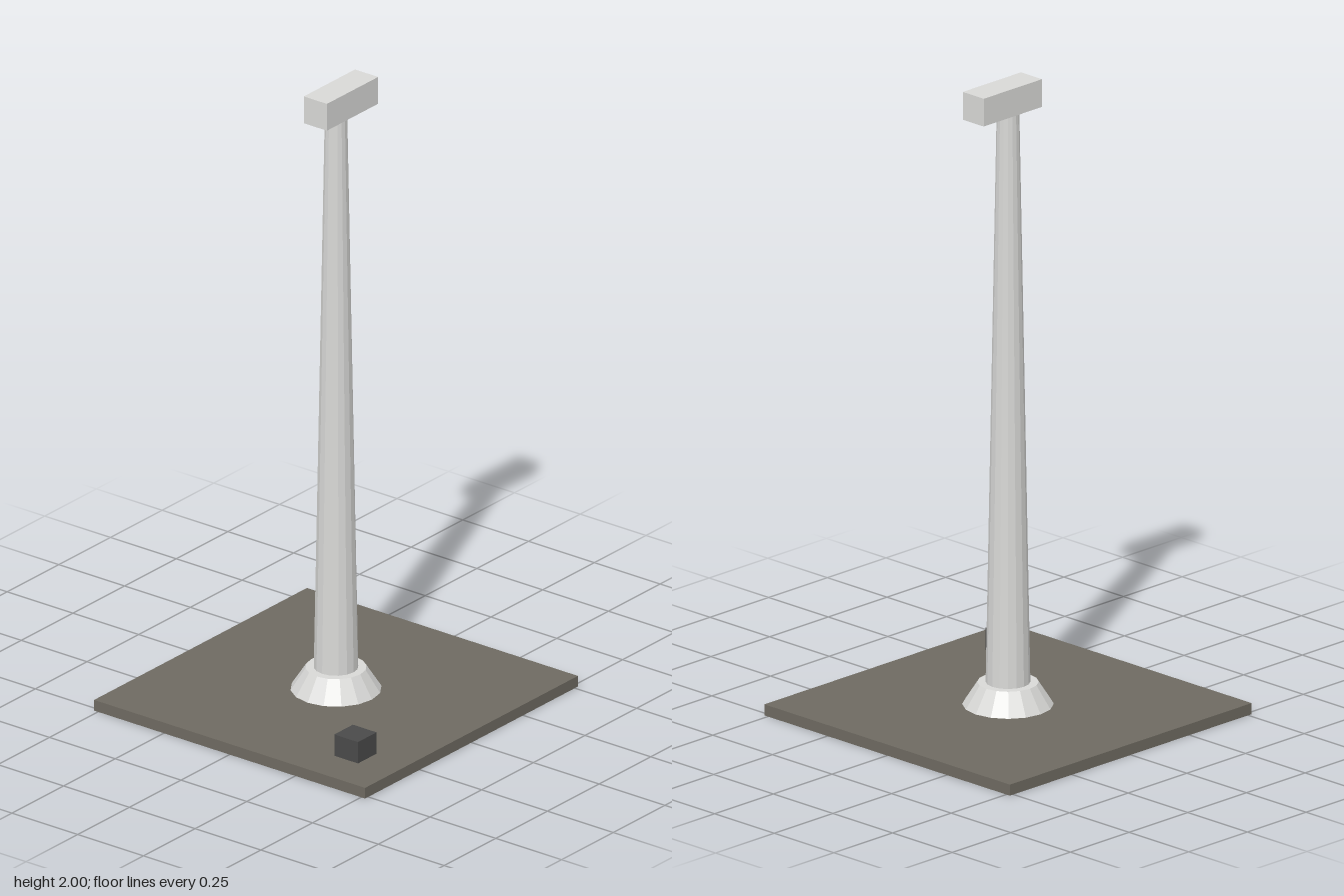
import * as THREE from 'three';

const material = (name, color) => {
  const m = new THREE.MeshStandardMaterial({ color });
  m.name = name;
  m.flatShading = true;
  return m;
};

export function createModel() {
  const group = new THREE.Group();
  group.name = 'tower';
  const paleGrey = material('paleGrey', 0xd8d8d6);
  const earth = material('earth', 0x6e6a61);
  const charcoal = material('charcoal', 0x4a4a4a);

  const add = (name, geometry, mat, x, y, z) => {
    const mesh = new THREE.Mesh(geometry, mat);
    mesh.name = name;
    mesh.position.set(x, y, z);
    group.add(mesh);
  };
  const box = (name, mat, w, h, d, x, y0, z) =>
    add(name, new THREE.BoxGeometry(w, h, d), mat, x, y0 + h / 2, z);
  const column = (name, mat, rTop, rBottom, y0, y1) =>
    add(name, new THREE.CylinderGeometry(rTop, rBottom, y1 - y0, 16), mat, 0, (y0 + y1) / 2, 0);

  // Ground slab
  box('groundSlab', earth, 1.03, 0.035, 1.03, 0, 0, 0);
  // Sloped footing and tapering shaft
  column('footing', paleGrey, 0.092, 0.137, 0.035, 0.105);
  column('shaft', paleGrey, 0.034, 0.067, 0.105, 1.912);
  // Housing on top, set back from the shaft axis
  box('topHousing', paleGrey, 0.088, 0.088, 0.248, 0, 1.912, -0.024);
  // Small equipment box on the slab
  box('equipmentBox', charcoal, 0.09, 0.07, 0.09, 0.344, 0.035, 0.344);

  return group;
}
